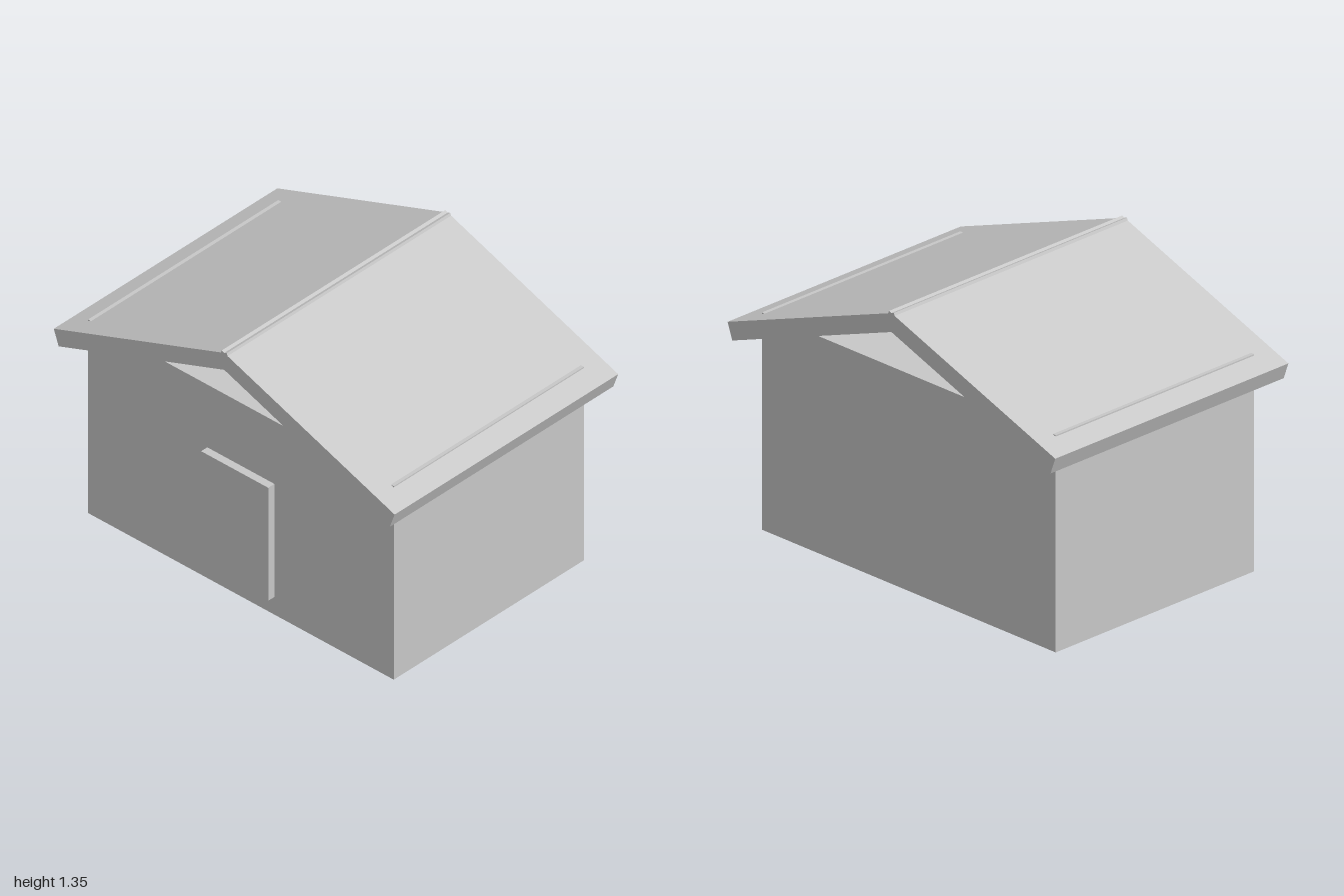
import * as THREE from 'three';

export function createModel() {
  const group = new THREE.Group();
  const grey = new THREE.MeshStandardMaterial({ color: 0xc8c8c8 });
  grey.name = 'plain grey';

  const addBox = (name, size, position) => {
    const mesh = new THREE.Mesh(new THREE.BoxGeometry(...size), grey);
    mesh.name = name;
    mesh.position.set(...position);
    group.add(mesh);
    return mesh;
  };

  // Main block and the door standing proud of its front
  addBox('walls', [1.794, 1.024, 1.198], [0, 0.512, 0]);
  addBox('door', [0.394, 0.598, 0.04], [0, 0.393, 0.618]);

  // Two sloping slabs that cross slightly at the ridge; gables stay open
  const pitch = THREE.MathUtils.degToRad(20);
  const thick = 0.084, eaveX = 1, eaveY = 0.98, overlap = 0.015;
  const length = (eaveX + overlap) / Math.cos(pitch);
  const midX = (eaveX - overlap) / 2 - Math.sin(pitch) * thick / 2;
  const midY = eaveY + Math.sin(pitch) * length / 2 - Math.cos(pitch) * thick / 2;
  for (const side of [1, -1]) {
    const slab = addBox(side > 0 ? 'leftRoofSlab' : 'rightRoofSlab',
      [length, thick, 1.408], [side * midX, midY, 0]);
    slab.rotation.z = -side * pitch;
  }
  return group;
}
